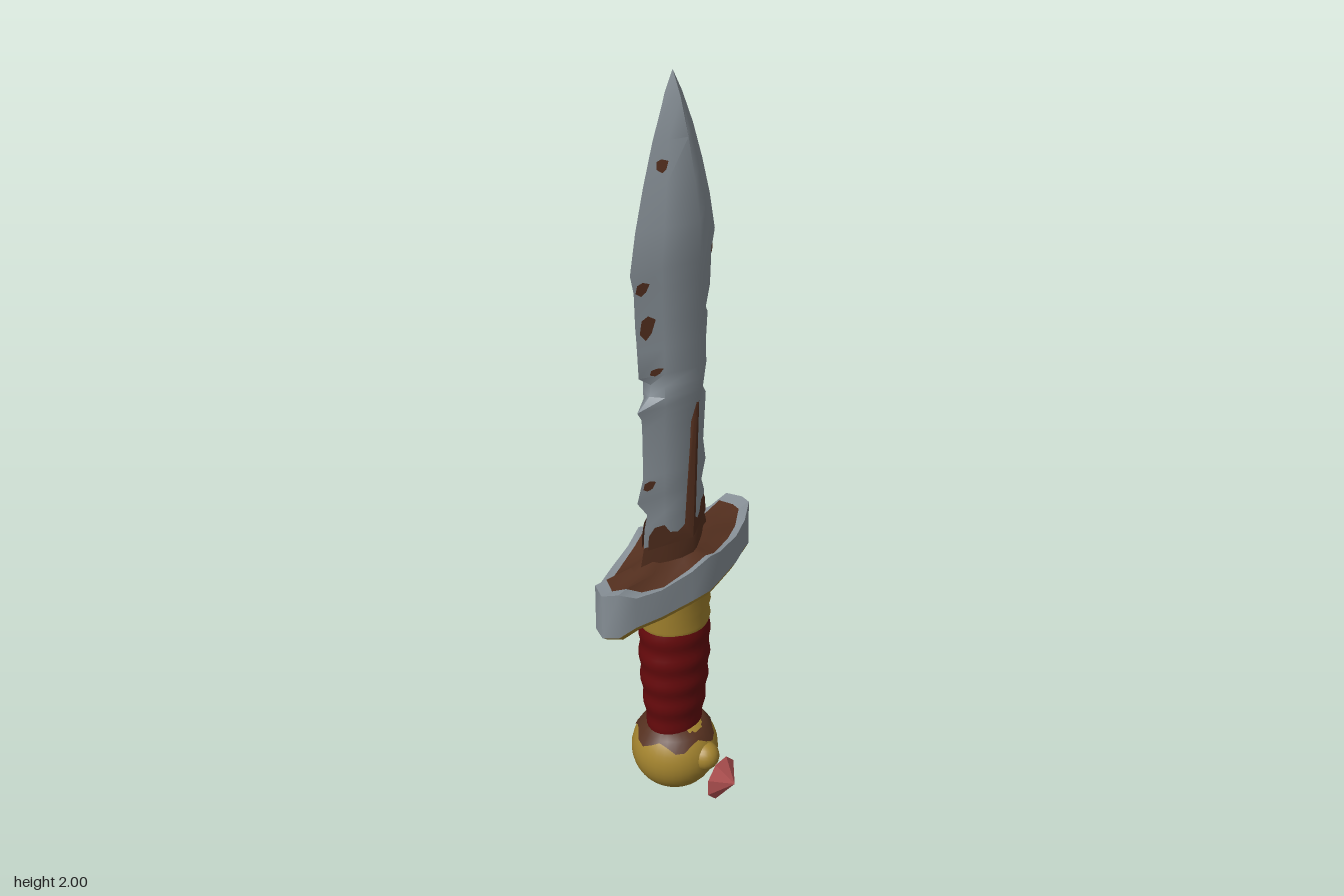
import * as THREE from 'three';
import { toCreasedNormals } from 'three/addons/utils/BufferGeometryUtils.js';

const mat = (name, color, side = THREE.FrontSide) => {
  const m = new THREE.MeshStandardMaterial({ color, side });
  m.name = name;
  return m;
};

// Skin a stack of rings (counter-clockwise seen from above, listed bottom to top)
function loft(rings, crease = 1.05) {
  const n = rings[0].length, index = [];
  for (let i = 0; i < rings.length - 1; i++)
    for (let j = 0; j < n; j++) {
      const k = (j + 1) % n, a = i * n + j, b = i * n + k;
      index.push(a, b, b + n, a, b + n, a + n);
    }
  const g = new THREE.BufferGeometry();
  g.setAttribute('position', new THREE.Float32BufferAttribute(rings.flat(2), 3));
  g.setIndex(index);
  return toCreasedNormals(g, crease);
}

// Elliptical ring with an optional ripple around the circumference
function ellipse(y, rx, rz, ripple = () => 0, n = 28) {
  return Array.from({ length: n }, (_, j) => {
    const a = (j / n) * Math.PI * 2, s = 1 + ripple(a, y);
    return [Math.cos(a) * rx * s, y, -Math.sin(a) * rz * s];
  });
}

// Blade rows: y, left edge, right edge, un-notched half width, ridge half depth
const BLADE = [
  [0.70, -0.145, 0.145, 0.145, 0.065], [0.79, -0.122, 0.122, 0.13, 0.056],
  [0.84, -0.12, 0.125, 0.13, 0.056], [0.88, -0.108, 0.112, 0.13, 0.057],
  [0.93, -0.146, 0.13, 0.13, 0.058], [0.99, -0.122, 0.12, 0.13, 0.059],
  [1.12, -0.124, 0.13, 0.135, 0.063], [1.155, -0.126, 0.11, 0.136, 0.068],
  [1.18, -0.142, 0.118, 0.138, 0.073], [1.205, -0.095, 0.132, 0.14, 0.075],
  [1.235, -0.09, 0.13, 0.14, 0.075], [1.27, -0.135, 0.13, 0.142, 0.075],
  [1.34, -0.14, 0.136, 0.146, 0.076], [1.38, -0.143, 0.115, 0.148, 0.076],
  [1.41, -0.146, 0.145, 0.15, 0.077], [1.50, -0.15, 0.15, 0.158, 0.078],
  [1.55, -0.163, 0.163, 0.163, 0.079], [1.65, -0.142, 0.142, 0.142, 0.079],
  [1.75, -0.112, 0.112, 0.112, 0.064], [1.85, -0.076, 0.076, 0.076, 0.045],
  [1.94, -0.035, 0.035, 0.035, 0.023], [2.0, -0.001, 0.001, 0.001, 0.001],
];
const bladeRing = ([y, l, r, w, d]) => {
  const m = w * 0.55, z = d * 0.45;
  return [[r, y, 0], [m, y, -z], [0, y, -d], [-m, y, -z], [l, y, 0], [-m, y, z], [0, y, d], [m, y, z]];
};
function bladeDepth(x, y) {
  const i = Math.max(1, BLADE.findIndex((row) => row[0] >= y));
  const a = BLADE[i - 1], b = BLADE[i], t = (y - a[0]) / (b[0] - a[0]);
  const w = a[3] + (b[3] - a[3]) * t, d = a[4] + (b[4] - a[4]) * t;
  return d * Math.max(0, 1 - Math.abs(x) / w);
}

// Thin stain laid on the blade; side is 1 for the front and -1 for the back
function stain(points, side = 1) {
  const g = new THREE.ShapeGeometry(new THREE.Shape(points.map(([x, y]) => new THREE.Vector2(x, y))));
  const p = g.attributes.position;
  for (let i = 0; i < p.count; i++) p.setZ(i, side * (bladeDepth(p.getX(i), p.getY(i)) + 0.004));
  g.computeVertexNormals();
  return g;
}

// Guard outline, one quarter: x, half depth, top, bottom
const QUARTER = [
  [0.29, 0, 0.738, 0.615], [0.27, 0.036, 0.745, 0.618], [0.225, 0.056, 0.72, 0.634],
  [0.155, 0.08, 0.716, 0.637], [0.06, 0.1, 0.727, 0.64], [0, 0.113, 0.748, 0.645],
];
const mirrored = (sx, sz, list) => list.map(([x, z, t, b]) => [x * sx, z * sz, t, b]);
const BACK = [...QUARTER].reverse();
const OUTLINE = [
  ...mirrored(1, -1, QUARTER), ...mirrored(-1, -1, BACK.slice(1)),
  ...mirrored(-1, 1, QUARTER.slice(1)), ...mirrored(1, 1, BACK.slice(1, -1)),
];
const guardRing = (s, yOf) => OUTLINE.map((p, j) => [p[0] * s, yOf(p, j), p[1] * s]);

// Thin stain on one facet of the guard's side wall
function wallStain(j, u0, u1, v0, v1) {
  const a = OUTLINE[j], b = OUTLINE[j + 1];
  const at = (u, v) => {
    const q = a.map((c, i) => c + (b[i] - c) * u);
    return [q[0] + 0.002, q[3] + (q[2] - q[3]) * v, q[1] - 0.004];
  };
  const g = new THREE.BufferGeometry();
  const c = [at(u0, v0), at(u1, v0 + 0.08), at(u1, v1), at(u0, v1 - 0.1)];
  g.setAttribute('position', new THREE.Float32BufferAttribute(c.flat(), 3));
  g.setIndex([0, 1, 2, 0, 2, 3]);
  g.computeVertexNormals();
  return g;
}

export function createModel() {
  const steel = mat('steel', 0x8a939a);
  const rust = mat('rust', 0x55301f, THREE.DoubleSide);
  const gold = mat('gold', 0xa5852f);
  const leather = mat('red leather', 0x660a0c);
  const crystal = mat('pink crystal', 0xb95555);

  const root = new THREE.Group();
  root.name = 'dagger';
  const body = new THREE.Group();
  body.name = 'daggerBody';
  body.position.z = -0.042;
  root.add(body);
  const add = (name, geometry, material) => {
    const m = new THREE.Mesh(geometry, material);
    m.name = name;
    body.add(m);
    return m;
  };

  // Blade with a rusty root
  add('blade', loft(BLADE.slice(1).map(bladeRing)), steel);
  add('bladeRoot', loft(BLADE.slice(0, 2).map(bladeRing)), rust);

  // Rust creeping up from the root, on all four facets
  const creep = [[0, 0.785], [0.118, 0.785], [0.115, 0.825], [0.1, 0.845], [0.075, 0.845], [0.06, 0.82], [0.04, 0.815]];
  const streak = [[0.022, 0.83], [0.018, 0.93], [0.013, 1.05], [0.012, 1.12], [0.005, 1.175], [0, 1.175], [0, 1.12], [0, 0.93]];
  for (const s of [-1, 1]) {
    const flip = (list) => list.map(([x, y]) => [x * s, y]);
    add('rootRustFront', stain(flip([...creep, ...streak])), rust);
    add('rootRustBack', stain(flip([...creep, [0, 0.8]]), -1), rust);
  }

  // Small rust spots: x, y, half width, half height
  const spots = [
    [-0.122, 1.405, 0.018, 0.032], [-0.136, 1.51, 0.016, 0.018], [-0.1, 1.282, 0.016, 0.01],
    [-0.066, 1.795, 0.014, 0.016], [-0.112, 0.968, 0.016, 0.014], [0.12, 1.522, 0.008, 0.012],
  ];
  for (const [x, y, w, h] of spots)
    add('rustSpot', stain([[x - w, y - h * 0.4], [x - w * 0.2, y - h], [x + w * 0.5, y - h * 0.5],
      [x + w, y + h * 0.6], [x, y + h], [x - w * 0.8, y + h * 0.7]]), rust);

  // Guard: gold underside, steel wall and rim, rusty top
  const wobble = (j) => 0.003 * Math.sin(j * 2.3);
  const top = (p) => p[2];
  const inner = guardRing(0.86, (p, j) => p[2] - 0.004 + wobble(j));
  add('guardUnderside', loft([
    guardRing(0.2, () => 0.62), guardRing(0.6, (p) => p[3] - 0.008),
    guardRing(0.93, (p) => p[3] - 0.015), guardRing(1, (p) => p[3]),
  ]), gold);
  add('guardWall', loft([guardRing(1, (p) => p[3]), guardRing(1, top), inner], 0.7), steel);
  add('guardTop', loft([inner, guardRing(0.55, (p) => p[2] * 0.5 + 0.367), guardRing(0.02, () => 0.765)]), rust);
  add('guardStain', wallStain(3, 0.1, 0.9, 0.1, 0.85), rust);
  add('guardStain', wallStain(4, 0.1, 0.5, 0.05, 0.5), rust);
  add('guardStain', wallStain(1, 0.2, 0.75, 0.35, 0.8), rust);

  // Gold collar with soft bands
  const collar = [[0.515, 0.094, 0.084], [0.53, 0.1, 0.088], [0.56, 0.095, 0.083], [0.575, 0.101, 0.088],
    [0.605, 0.095, 0.084], [0.62, 0.102, 0.09], [0.645, 0.125, 0.085]];
  add('collar', loft(collar.map(([y, rx, rz]) => ellipse(y, rx, rz))), gold);

  // Leather grip with slanted wraps
  const wrap = (a, y) => 0.028 * Math.sin(y * 85 + Math.sin(a) * 1.2 + a);
  const grip = [];
  for (let i = 0; i <= 30; i++) {
    const t = i / 30, swell = Math.sin(Math.min(1, t / 0.8) * Math.PI / 2);
    grip.push(ellipse(0.185 + t * 0.337, 0.078 + 0.022 * swell, 0.063 + 0.022 * swell, wrap));
  }
  add('grip', loft(grip), leather);

  // Pommel with a rusty cap
  const pommel = add('pommel', new THREE.SphereGeometry(0.114, 32, 20), gold);
  pommel.position.y = 0.114;
  const ragged = ellipse(0.172, 0.1, 0.1).map(([x, , z], j) => {
    const y = 0.17 + 0.012 * Math.sin(j * 1.35), r = Math.sqrt(0.117 ** 2 - (y - 0.114) ** 2);
    const k = r / Math.hypot(x, z);
    return [x * k, y, z * k];
  });
  add('pommelCap', loft([ragged, ellipse(0.188, 0.091, 0.09), ellipse(0.204, 0.08, 0.068), ellipse(0.206, 0.06, 0.05)]), rust);

  // Gold stud on the pommel and the crystal in front of it
  const stud = add('stud', new THREE.SphereGeometry(0.039, 20, 14), gold);
  stud.position.set(0, 0.122, 0.098);
  const facets = new THREE.LatheGeometry(
    [[0, -0.016], [0.06, 0], [0, 0.045]].map(([r, y]) => new THREE.Vector2(r, y)), 8);
  const gem = add('crystal', toCreasedNormals(facets, 0.1), crystal);
  gem.rotation.set(Math.PI / 2, Math.PI / 8, 0);
  gem.position.set(0, 0.073, 0.151);
  return root;
}
